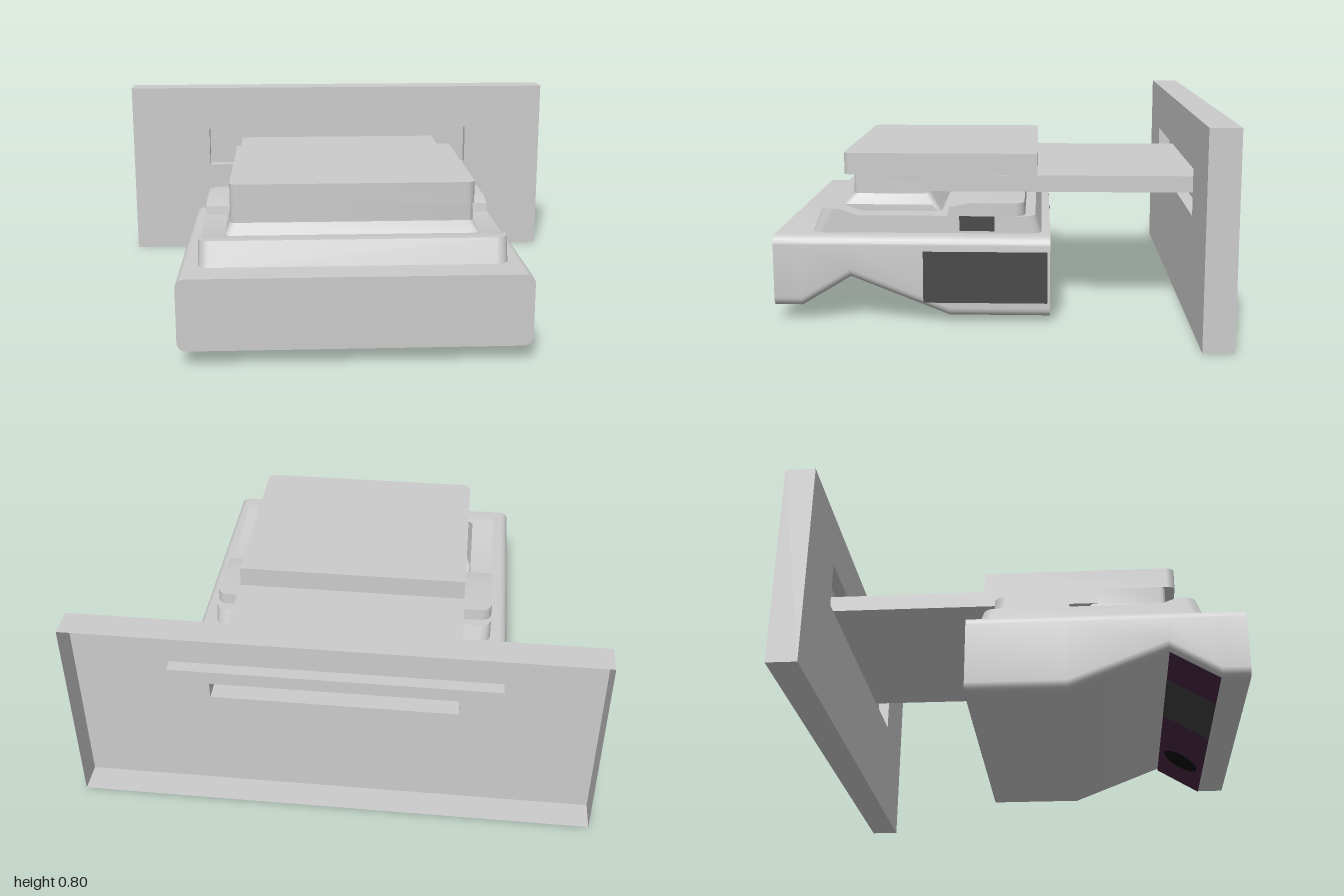
import * as THREE from 'three';
import { toCreasedNormals } from 'three/addons/utils/BufferGeometryUtils.js';

const V = (x, y, z) => new THREE.Vector3(x, y, z);
const mat = (color = 0xcccccc, side = THREE.FrontSide) =>
  new THREE.MeshStandardMaterial({ color, side });

// Skin a row of equal-length rings; flat(v) projects an end ring to 2D for its cap.
function loft(rings, flat) {
  const tris = [];
  const n = rings[0].length;
  for (let i = 0; i < rings.length - 1; i++) {
    for (let j = 0; j < n; j++) {
      const k = (j + 1) % n, a = rings[i], b = rings[i + 1];
      tris.push([a[j], a[k], b[k]], [a[j], b[k], b[j]]);
    }
  }
  if (flat) {
    const cap = (ring, flip) => {
      const pts = ring.map(flat);
      const cw = THREE.ShapeUtils.isClockWise(pts);
      for (const [a, b, c] of THREE.ShapeUtils.triangulateShape(pts, [])) {
        const area = (pts[b].x - pts[a].x) * (pts[c].y - pts[a].y) - (pts[b].y - pts[a].y) * (pts[c].x - pts[a].x);
        const same = (area < 0) === cw;
        tris.push(same !== flip ? [ring[a], ring[b], ring[c]] : [ring[a], ring[c], ring[b]]);
      }
    };
    cap(rings[0], true);
    cap(rings[rings.length - 1], false);
  }
  // Turn the skin outward if the ring order wound it inside out
  const volume = tris.reduce((s, [a, b, c]) => s + a.dot(b.clone().cross(c)), 0);
  const pos = tris.flatMap(([a, b, c]) => (volume < 0 ? [a, c, b] : [a, b, c])).flatMap(v => v.toArray());
  const g = new THREE.BufferGeometry();
  g.setAttribute('position', new THREE.Float32BufferAttribute(pos, 3));
  return toCreasedNormals(g, 0.5);
}

// Outline of a rounded rectangle as 2D points
function roundRect(x0, x1, y0, y1, r, steps = 6) {
  const out = [];
  [[x1 - r, y1 - r], [x0 + r, y1 - r], [x0 + r, y0 + r], [x1 - r, y0 + r]].forEach(([cx, cy], q) => {
    for (let i = 0; i <= steps; i++) {
      const a = (q + i / steps) * Math.PI / 2;
      out.push([cx + r * Math.cos(a), cy + r * Math.sin(a)]);
    }
  });
  return out;
}

const rectPath = (T, w, y0, y1) => new T([[-w, y0], [w, y0], [w, y1], [-w, y1]].map(p => new THREE.Vector2(...p)));

// Thin sheet facing z with a rectangular opening
function sheet(w, y0, y1, hole, z) {
  const s = rectPath(THREE.Shape, w, y0, y1);
  s.holes.push(rectPath(THREE.Path, ...hole));
  return new THREE.ShapeGeometry(s).translate(0, 0, z);
}

// Open-ended rectangular sleeve along z
function sleeve(w, y0, y1, z0, z1) {
  return loft([z0, z1].map(z => [V(-w, y0, z), V(w, y0, z), V(w, y1, z), V(-w, y1, z)]));
}

export function createModel() {
  const model = new THREE.Group();
  const add = (name, geometry, material = mat(), parent = model) => {
    const m = new THREE.Mesh(geometry, material);
    m.name = name;
    parent.add(m);
    return m;
  };
  const thin = mat(0xcccccc, THREE.DoubleSide);
  const flatXY = v => new THREE.Vector2(v.x, v.y);
  const flatXZ = v => new THREE.Vector2(v.x, v.z);
  const flatZY = v => new THREE.Vector2(v.z, v.y);

  // Wall plate: a tray open at the back with a slotted pocket
  const plate = new THREE.Group();
  plate.name = 'wallPlate';
  model.add(plate);
  const pocket = [0.63, 0.42, 0.6], slot = [0.47, 0.48, 0.545];
  add('plateFace', sheet(1, 0, 0.8, pocket, -0.74), thin, plate);
  add('plateRim', sleeve(1, 0, 0.8, -0.855, -0.74), thin, plate);
  add('pocketWalls', sleeve(...pocket, -0.79, -0.74), thin, plate);
  add('pocketBack', sheet(...pocket, slot, -0.79), thin, plate);

  // Hollow arm running from the slot to the neck
  add('arm', sleeve(...slot, -0.79, 0.3), thin);

  // Cap with rounded front corners
  const cap = [[-0.468, -0.155], [0.468, -0.155], ...roundRect(-0.468, 0.468, -0.155, 0.61, 0.03).slice(0, 14)];
  add('cap', loft([0.545, 0.63].map(y => cap.map(([x, z]) => V(x, y, z))), flatXZ));

  // Neck flaring out to its foot: y, half width, rear z, front z
  const neck = [[0.4, 0.49, 0.217, 0.61], [0.43, 0.49, 0.237, 0.61], [0.47, 0.468, 0.263, 0.57],
    [0.48, 0.468, 0.27, 0.57], [0.545, 0.468, 0.27, 0.57]];
  add('neck', loft(neck.map(([y, w, z0, z1]) =>
    roundRect(-w, w, z0, z1, 0.02, 3).map(([x, z]) => V(x, y, z))), flatXZ));

  // Upper tier: a side profile swept across x, drawn in at the corners
  const tier = [[0.72, 0.33], [0.68, 0.43], [0.61, 0.43], [0.54, 0.405], [0.19, 0.405], [0.185, 0.44],
    [0.1, 0.455], [-0.105, 0.455], [-0.108, 0.405], [-0.148, 0.405], [-0.175, 0.33]];
  const r = 0.045, tierRings = [];
  for (const side of [-1, 1]) {
    for (let i = 0; i <= 6; i++) {
      const a = (side < 0 ? i : 6 - i) / 6 * Math.PI / 2;
      const inset = r * (1 - Math.sin(a));
      tierRings.push(tier.map(([z, y]) =>
        V(side * (0.587 - r + r * Math.cos(a)), y, z > 0.65 ? z - inset : z < -0.09 ? z + inset : z)));
    }
  }
  add('upperTier', loft(tierRings, flatZY));

  // Main body: rounded section along z with a notched underside
  const belly = [[-0.205, 0.025], [0.18, 0.025], [0.56, 0.175], [0.75, 0.06], [0.855, 0.06]];
  add('body', loft(belly.map(([z, y0]) =>
    roundRect(-0.66, 0.66, y0, 0.337, 0.035).map(([x, y]) => V(x, y, z))), flatXY));

  // Dark panels on the +x side
  const dark = mat(0x484848);
  add('sidePanel', new THREE.BoxGeometry(0.004, 0.2, 0.475).translate(0.66, 0.18, 0.0425), dark);
  add('tierPanel', new THREE.BoxGeometry(0.004, 0.058, 0.135).translate(0.587, 0.375, 0.0775), dark);

  // Stepped coloured panel on the rear face
  const rear = new THREE.Shape([[0.06, 0.035], [0.06, 0.13], [-0.11, 0.13], [-0.11, 0.28], [-0.59, 0.28], [-0.59, 0.035]]
    .map(p => new THREE.Vector2(...p)));
  add('rearPanel', new THREE.ExtrudeGeometry(rear, { depth: 0.004, bevelEnabled: false }).translate(0, 0, -0.208),
    mat(0x180d58));

  // Scanner window on the rear-facing slope of the notch
  const scanner = new THREE.Group();
  scanner.name = 'scannerWindow';
  scanner.position.set(0, 0.1175, 0.655);
  scanner.rotation.x = Math.PI - Math.atan2(0.19, 0.115);
  model.add(scanner);
  add('windowStrip', new THREE.PlaneGeometry(1.28, 0.215).translate(0, 0, 0.002), mat(0x482442), scanner);
  add('windowCentre', new THREE.PlaneGeometry(0.37, 0.215).translate(-0.215, 0, 0.004), mat(0x404040), scanner);
  add('lens', new THREE.CircleGeometry(0.08, 32).translate(0.37, 0, 0.004), mat(0x0a0a0a), scanner);

  return model;
}
